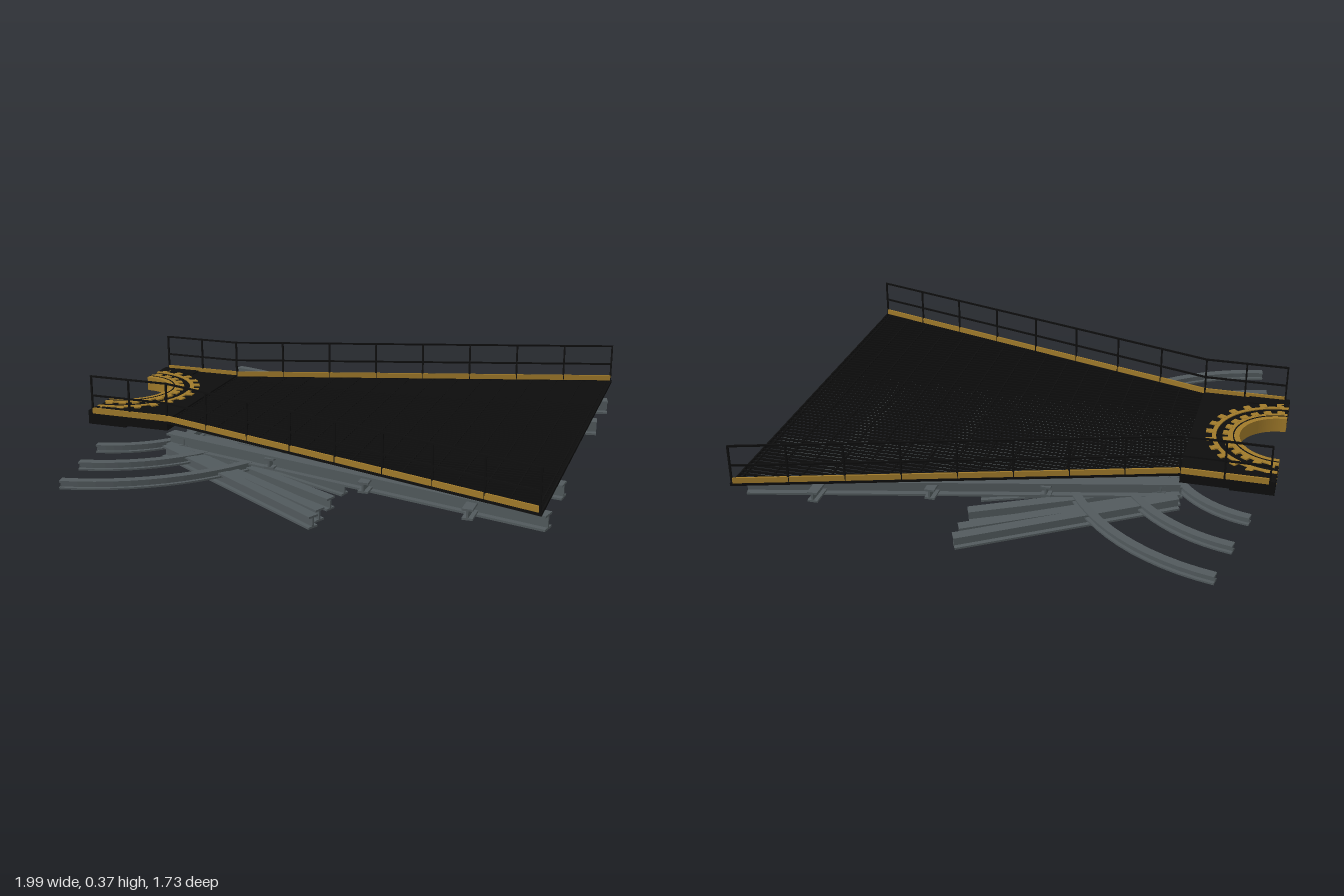
import * as THREE from 'three';

export function createModel() {
  const root = new THREE.Group();
  root.name = 'walkwaySection';
  const mat = (name, color) => {
    const m = new THREE.MeshStandardMaterial({ color });
    m.name = name;
    return m;
  };
  const steel = mat('steel grey', 0x51595c);
  const black = mat('black', 0x0d0d0d);
  const gold = mat('dull gold', 0xa07a2a);
  const V = (x, y, z) => new THREE.Vector3(x, y, z);

  const group = (name) => {
    const g = new THREE.Group();
    g.name = name;
    root.add(g);
    return g;
  };
  const add = (parent, name, geo, material) => {
    const m = new THREE.Mesh(geo, material);
    m.name = name;
    parent.add(m);
    return m;
  };
  const box = (parent, name, material, w, h, d, x, y, z) => {
    const m = add(parent, name, new THREE.BoxGeometry(w, h, d), material);
    m.position.set(x, y, z);
    return m;
  };
  // Box of width w and height h stretched from a to b
  const bar = (parent, name, material, a, b, w, h) => {
    const m = add(parent, name, new THREE.BoxGeometry(w, h, a.distanceTo(b)), material);
    m.position.copy(a).lerp(b, 0.5);
    m.lookAt(b);
    return m;
  };

  // I-section outline, counter-clockwise
  const iSection = (w, h, t = 0.008) => {
    const a = w / 2, b = h / 2, c = t / 2, f = b - t;
    return [[-a, -b], [a, -b], [a, -f], [c, -f], [c, f], [a, f],
      [a, b], [-a, b], [-a, f], [-c, f], [-c, -f], [-a, -f]].map(([x, y]) => new THREE.Vector2(x, y));
  };
  const iBeam = (parent, name, a, b, w, h) => {
    const geo = new THREE.ExtrudeGeometry(new THREE.Shape(iSection(w, h)), { depth: a.distanceTo(b), bevelEnabled: false });
    const m = add(parent, name, geo, steel);
    m.position.copy(a);
    m.lookAt(b);
    return m;
  };

  // Deck outline: half width at a given x
  const X0 = -0.64, X1 = 0.98, Z0 = 0.355, SLOPE = 0.303;
  const halfZ = (x) => Z0 + Math.max(0, x - X0) * SLOPE;

  // Main girders and cross beams
  const frame = group('deckFrame');
  for (const s of [1, -1]) {
    iBeam(frame, 'outerGirder', V(X0, 0.126, s * 0.325), V(0.985, 0.126, s * 0.71), 0.055, 0.058);
    iBeam(frame, 'innerGirder', V(X0, 0.126, s * 0.17), V(0.985, 0.126, s * 0.397), 0.055, 0.058);
  }
  for (const x of [-0.57, -0.145, 0.28, 0.705]) {
    const z = halfZ(x) - 0.025;
    iBeam(frame, 'crossBeam', V(x, 0.125, -z), V(x, 0.125, z), 0.04, 0.042);
  }

  // Sloping fan of lower beams
  const fan = group('lowerFan');
  for (const z of [0, 0.205, 0.4, 0.565, 0.685, 0.755]) {
    for (const s of z ? [1, -1] : [1]) {
      const start = V(X0, 0.088, s * z * 0.485);
      iBeam(fan, 'fanBeam', start, V(0.14, 0.029, s * z), 0.045, 0.05);
    }
  }

  // Curved beams around the end opening
  const arcs = group('curvedBeams');
  const SPAN = 1.387;
  for (const r of [0.44, 0.65, 0.86]) {
    const pts = iSection(0.035, 0.034, 0.007).map((p) => new THREE.Vector2(p.x + r, p.y));
    pts.push(pts[0].clone());
    const geo = new THREE.LatheGeometry(pts, 36, Math.PI / 2 - SPAN, 2 * SPAN).toNonIndexed();
    geo.computeVertexNormals();
    add(arcs, 'curvedBeam', geo, steel).position.set(-1, 0.089, 0);
    for (const s of [1, -1]) {
      const end = V(-1 + r * Math.cos(SPAN), 0.089, s * r * Math.sin(SPAN));
      const out = end.clone().add(V(-Math.sin(SPAN) * 0.003, 0, s * Math.cos(SPAN) * 0.003));
      iBeam(arcs, 'curvedBeamEnd', end, out, 0.035, 0.034);
    }
  }

  // Open deck grating
  const grating = group('grating');
  for (let i = -34; i <= 34; i++) {
    const z = i * 0.0245;
    const x = X0 + Math.max(0, Math.abs(z) - Z0) / SLOPE;
    box(grating, 'bearingBar', black, X1 - x, 0.01, 0.005, (X1 + x) / 2, 0.203, z);
  }
  for (let x = X0 + 0.0035; x < X1; x += 0.1065) {
    box(grating, 'crossRod', black, 0.005, 0.009, 2 * halfZ(x), x, 0.203, 0);
  }
  box(grating, 'endBar', black, 0.006, 0.012, 2 * halfZ(X1), X1, 0.203, 0);

  // Railings, edge bars and kick plates, mirrored
  const postX = [-0.98, -0.81];
  for (let i = 0; i <= 8; i++) postX.push(X0 + i * 0.202);
  for (const s of [1, -1]) {
    const rail = group(s > 0 ? 'leftRailing' : 'rightRailing');
    const at = (x, y) => V(x, y, s * (halfZ(x) - 0.003));
    for (const x of postX) bar(rail, 'post', black, at(x, 0.2), at(x, 0.369), 0.007, 0.007);
    for (const [a, b] of [[-0.98, X0], [X0, 0.976]]) {
      for (const y of [0.366, 0.284]) bar(rail, 'handrail', black, at(a, y), at(b, y), 0.007, 0.007);
      bar(rail, 'kickPlate', gold, at(a, 0.219), at(b, 0.219), 0.007, 0.024);
    }
    bar(rail, 'edgeBar', black, at(X0, 0.203), at(X1, 0.203), 0.008, 0.011);
  }

  // End platform with a half-round opening
  const platform = group('endPlatform');
  const flat = (name, shape, y0, y1, material) => {
    const geo = new THREE.ExtrudeGeometry(shape, { depth: y1 - y0, bevelEnabled: false, curveSegments: 32 });
    geo.rotateX(-Math.PI / 2);
    add(platform, name, geo, material).position.set(-1, y0, 0);
  };
  const R = 0.175, H = Math.PI / 2;
  const slab = new THREE.Shape();
  slab.moveTo(0, -Z0);
  slab.lineTo(0.36, -Z0);
  slab.lineTo(0.36, Z0);
  slab.lineTo(0, Z0);
  slab.lineTo(0, R);
  slab.absarc(0, 0, R, H, -H, true);
  flat('platformSlab', slab, 0.168, 0.214, black);
  for (const s of [1, -1]) {
    box(platform, 'platformShoulder', black, 0.17, 0.058, 0.065, -0.915, 0.19, s * (Z0 - 0.0325));
  }

  // Gold collar rings
  const halfRing = (r0, r1) => {
    const sh = new THREE.Shape();
    sh.moveTo(0, -r1);
    sh.absarc(0, 0, r1, -H, H, false);
    sh.lineTo(0, r0);
    sh.absarc(0, 0, r0, H, -H, true);
    return sh;
  };
  flat('innerCollar', halfRing(R - 0.003, 0.218), 0.159, 0.219, gold);
  flat('collarGroove', halfRing(0.194, 0.199), 0.218, 0.2205, black);
  flat('outerRing', halfRing(0.265, 0.282), 0.159, 0.218, gold);

  // Lugs around both rings
  const lugs = (name, count, r, w, d, y) => {
    for (let i = 0; i < count; i++) {
      const a = -H + ((i + 0.5) / count) * Math.PI;
      const m = box(platform, name, gold, w, 0.01, d, -1 + r * Math.cos(a), y, r * Math.sin(a));
      m.rotation.y = -a;
    }
  };
  lugs('innerLug', 13, 0.226, 0.026, 0.03, 0.215);
  lugs('outerLug', 13, 0.292, 0.03, 0.028, 0.214);

  return root;
}
